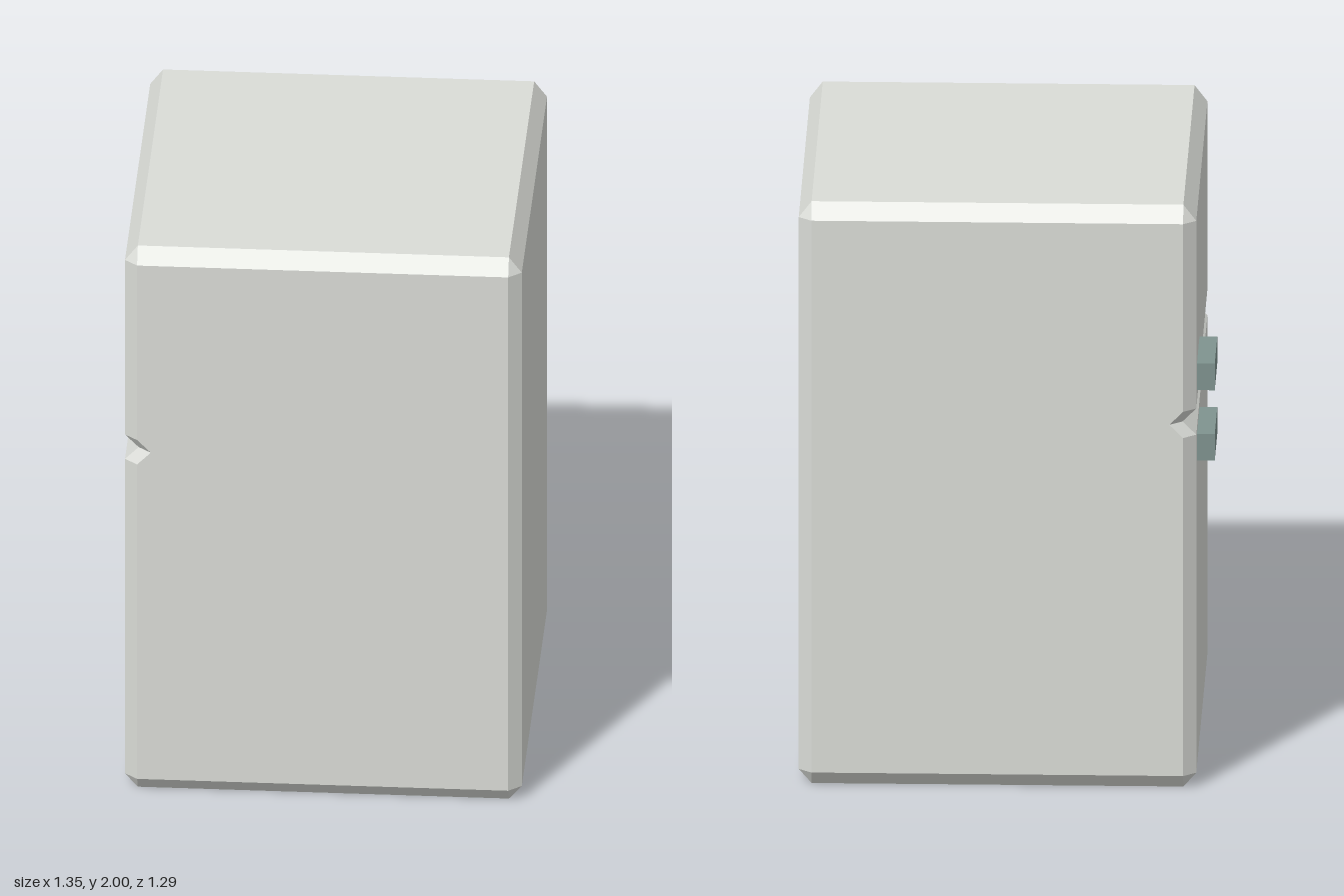
import * as THREE from 'three';

const X0 = -0.62, X1 = 0.675, Z = 0.643; // cabinet extents
const CX = 0.042, CZ = 0.036;            // chamfer widths
const GROOVE = 0.045;                    // depth of the seam between the doors

// Octagonal cross-section, counter-clockwise from above; the door side can be pushed in.
function ring(y, push = 0) {
  const a = X0 + push, b = X0 + CX + push, c = X1 - CX, zi = Z - CZ;
  return [[b, Z], [c, Z], [X1, zi], [X1, -zi], [c, -Z], [b, -Z], [a, -zi], [a, zi]]
    .map(([x, z]) => new THREE.Vector3(x, y, z));
}

// End section: the chamfers close to a plain rectangle.
function capRing(y) {
  const b = X0 + CX, c = X1 - CX, zi = Z - CZ;
  return [[b, zi], [c, zi], [c, zi], [c, -zi], [c, -zi], [b, -zi], [b, -zi], [b, zi]]
    .map(([x, z]) => new THREE.Vector3(x, y, z));
}

// Flat-faced skin through the stacked sections, closed at both ends.
function loft(rings) {
  const pos = [];
  const tri = (...p) => {
    if (new THREE.Triangle(...p).getArea() > 1e-8) p.forEach(v => pos.push(v.x, v.y, v.z));
  };
  for (let k = 0; k < rings.length - 1; k++) {
    const lo = rings[k], hi = rings[k + 1];
    for (let i = 0; i < lo.length; i++) {
      const j = (i + 1) % lo.length;
      tri(lo[i], lo[j], hi[j]);
      tri(lo[i], hi[j], hi[i]);
    }
  }
  const first = rings[0], last = rings[rings.length - 1];
  for (let i = 1; i < first.length - 1; i++) {
    tri(first[0], first[i + 1], first[i]);
    tri(last[0], last[i], last[i + 1]);
  }
  const g = new THREE.BufferGeometry();
  g.setAttribute('position', new THREE.Float32BufferAttribute(pos, 3));
  g.computeVertexNormals();
  return g;
}

export function createModel() {
  const group = new THREE.Group();
  group.name = 'refrigerator';

  const enamel = new THREE.MeshStandardMaterial({ color: 0xdadcd7 });
  enamel.name = 'pale grey enamel';
  const metal = new THREE.MeshStandardMaterial({ color: 0x7f938f });
  metal.name = 'grey green metal';

  // Cabinet with the V-shaped seam separating the two doors
  const cabinet = new THREE.Mesh(loft([
    capRing(0), ring(0.048), ring(1.21), ring(1.255, GROOVE), ring(1.3), ring(1.945), capRing(2),
  ]), enamel);
  cabinet.name = 'cabinet';
  group.add(cabinet);

  // One handle on each door, either side of the seam
  for (const [name, y] of [['upperHandle', 1.385], ['lowerHandle', 1.143]]) {
    const handle = new THREE.Mesh(new THREE.BoxGeometry(0.07, 0.092, 0.272), metal);
    handle.name = name;
    handle.position.set(-0.643, y, -0.4);
    group.add(handle);
  }

  return group;
}
